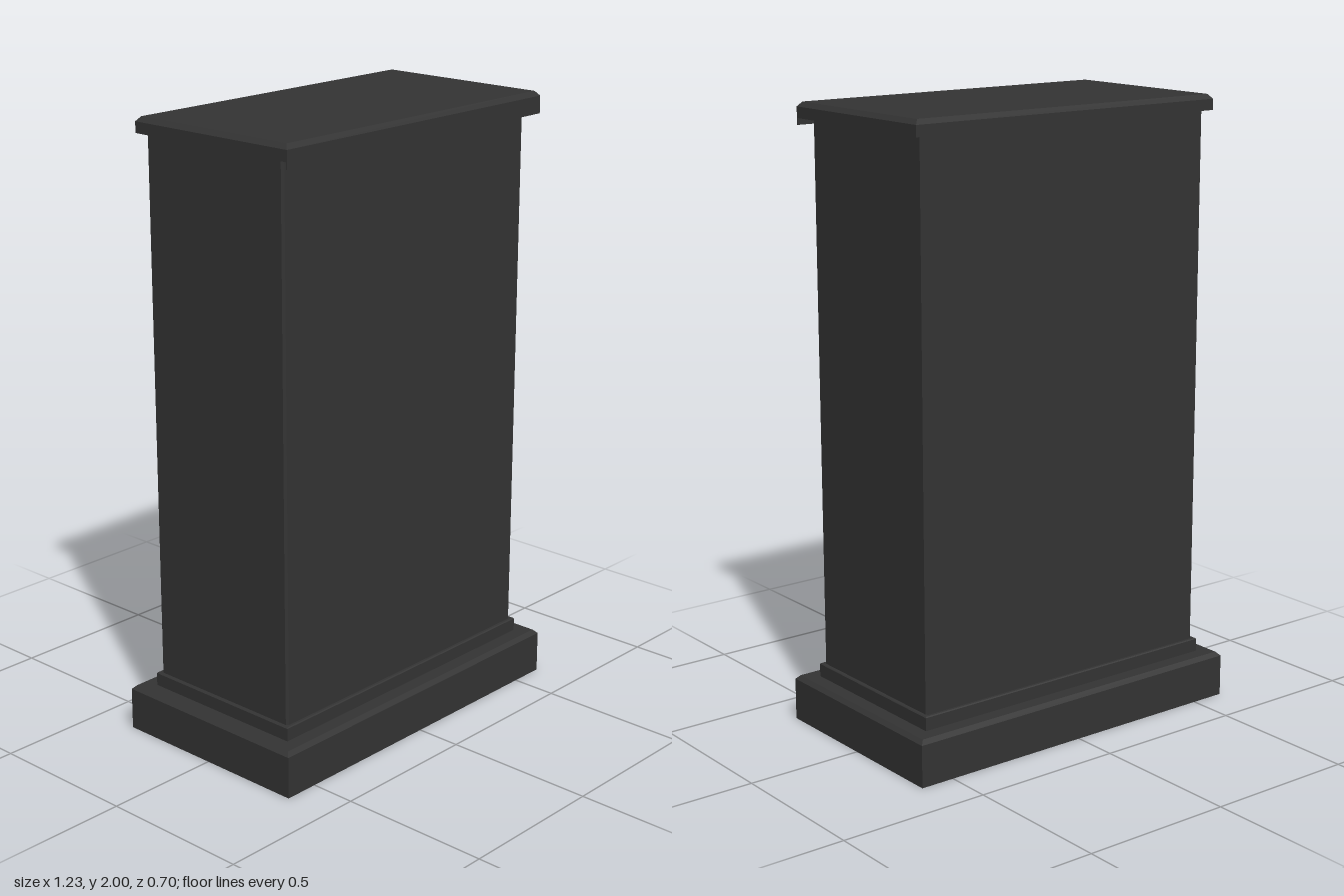
import * as THREE from 'three';

const charcoal = new THREE.MeshStandardMaterial({ color: 0x343434, side: THREE.DoubleSide });
charcoal.name = 'charcoal';

// Stacks rectangular rings [halfX, halfZ, y] into faceted walls, with optional end faces.
function stackedBox(levels, closeTop, closeBottom) {
  const pos = [];
  const corners = ([x, z, y]) => [[x, y, z], [x, y, -z], [-x, y, -z], [-x, y, z]];
  const quad = (a, b, c, d) => pos.push(...a, ...b, ...c, ...a, ...c, ...d);
  for (let i = 0; i < levels.length - 1; i++) {
    const lo = corners(levels[i]), hi = corners(levels[i + 1]);
    for (let k = 0; k < 4; k++) {
      const n = (k + 1) % 4;
      quad(lo[k], lo[n], hi[n], hi[k]);
    }
  }
  if (closeTop) quad(...corners(levels[levels.length - 1]));
  if (closeBottom) quad(...corners(levels[0]).reverse());
  const geo = new THREE.BufferGeometry();
  geo.setAttribute('position', new THREE.Float32BufferAttribute(pos, 3));
  geo.computeVertexNormals();
  return geo;
}

// Upright column with slightly cut vertical corners.
function cutColumn(x, z, cut, y0, y1) {
  const pts = [
    [x, z - cut], [x - cut, z], [-x + cut, z], [-x, z - cut],
    [-x, -z + cut], [-x + cut, -z], [x - cut, -z], [x, -z + cut],
  ].map(p => new THREE.Vector2(...p));
  const geo = new THREE.ExtrudeGeometry(new THREE.Shape(pts), { depth: y1 - y0, bevelEnabled: false });
  return geo.rotateX(-Math.PI / 2).translate(0, y0, 0);
}

export function createModel() {
  const group = new THREE.Group();
  group.name = 'pedestal';
  const add = (name, geo, z = 0) => {
    const mesh = new THREE.Mesh(geo, charcoal);
    mesh.name = name;
    mesh.position.z = z;
    group.add(mesh);
  };

  // Plinth, hollow underneath, with a bevelled top edge
  add('plinth', stackedBox([[0.615, 0.35, 0], [0.615, 0.35, 0.137], [0.602, 0.337, 0.15]], true, false));

  // Low moulding around the foot of the column
  add('footMoulding', stackedBox([[0.557, 0.291, 0.15], [0.557, 0.291, 0.192], [0.554, 0.288, 0.195]], true, false));

  // Column
  add('column', cutColumn(0.545, 0.28, 0.007, 0.15, 1.96));

  // Overhanging top slab, sitting a little forward
  add('topSlab', stackedBox([[0.573, 0.31, 1.95], [0.573, 0.31, 1.985], [0.56, 0.297, 2]], true, true), 0.014);

  // Thin lip hanging below the front edge of the slab
  add('frontLip', new THREE.BoxGeometry(1.146, 0.022, 0.004).translate(0, 1.94, 0.322));

  return group;
}
